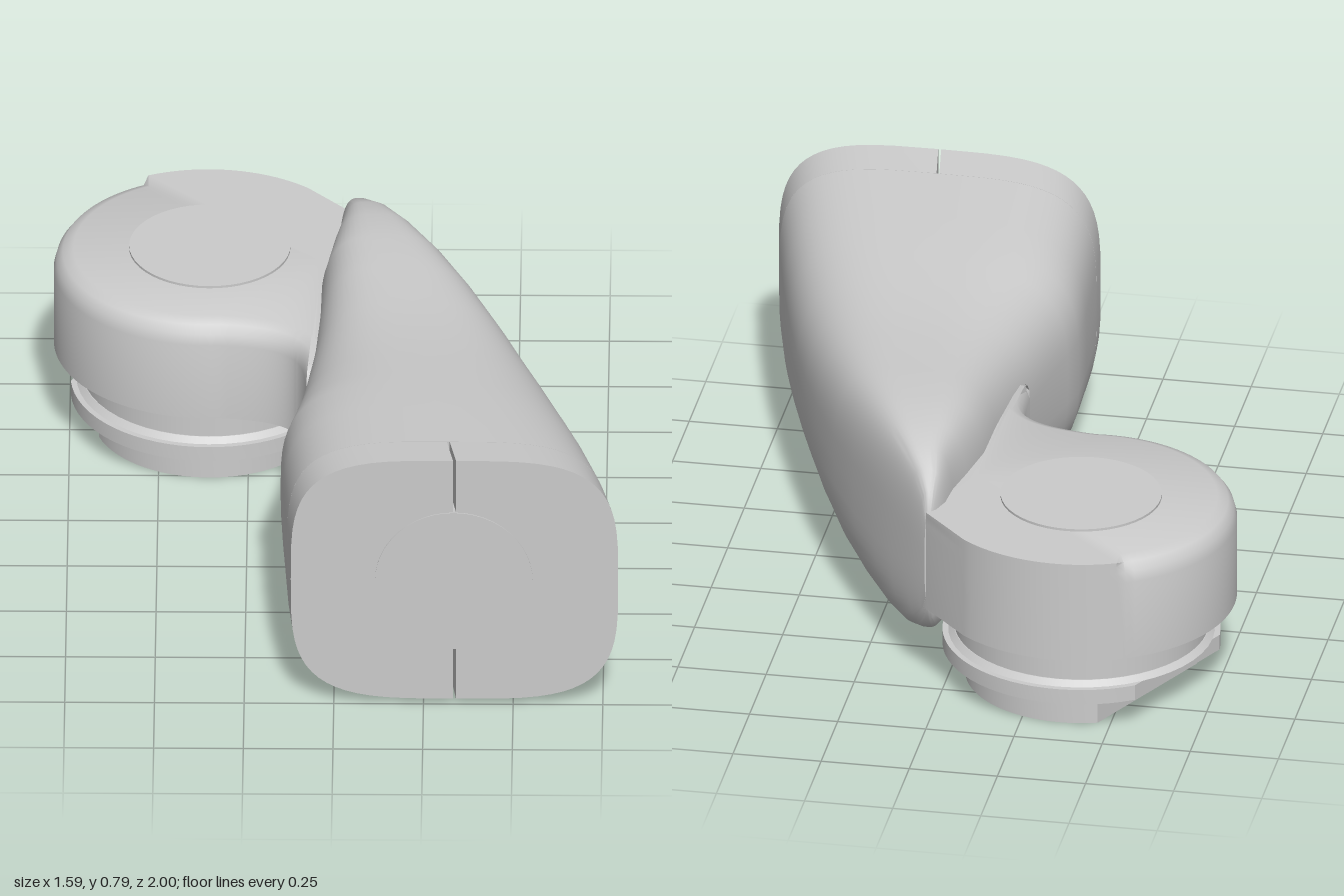
import * as THREE from 'three';
import { toCreasedNormals } from 'three/addons/utils/BufferGeometryUtils.js';

const material = new THREE.MeshStandardMaterial({ color: 0xcccccc });
const HEAD = { x: -0.365, z: -0.57, r: 0.43 };

// Arm sections from the rear tip to the front: z, left x, right x, bottom, top, squareness
const SECTIONS = [
  [-0.755, 0.03, 0.05, 0.27, 0.53, 2.5],
  [-0.73, 0.015, 0.072, 0.205, 0.6, 2.7],
  [-0.68, 0.0, 0.112, 0.155, 0.648, 3],
  [-0.6, -0.005, 0.172, 0.122, 0.682, 3.2],
  [-0.5, -0.025, 0.24, 0.104, 0.702, 3.3],
  [-0.36, -0.05, 0.325, 0.095, 0.713, 3.3],
  [-0.2, -0.055, 0.41, 0.092, 0.71, 3.2],
  [0, -0.07, 0.498, 0.09, 0.708, 3.1],
  [0.15, -0.09, 0.556, 0.085, 0.712, 3],
  [0.3, -0.112, 0.61, 0.075, 0.724, 3],
  [0.42, -0.137, 0.648, 0.064, 0.735, 3.1],
  [0.5, -0.153, 0.672, 0.056, 0.743, 3.2],
  [0.65, -0.146, 0.714, 0.045, 0.756, 3.4],
  [0.875, -0.132, 0.768, 0.029, 0.775, 3.7],
  [1, -0.12, 0.793, 0.018, 0.787, 3.7],
];

function mesh(name, geometry, x = 0, y = 0, z = 0) {
  const m = new THREE.Mesh(geometry, material);
  m.name = name;
  m.position.set(x, y, z);
  return m;
}

// Skin closed rings and close both ends with fans around the given centres
function loft(rings, startCentre, endCentre) {
  const n = rings[0].length;
  const positions = rings.flat().concat([startCentre, endCentre]).flat();
  const start = rings.length * n, end = start + 1, last = start - n;
  const index = [];
  for (let j = 0; j < n; j++) {
    const k = (j + 1) % n;
    for (let i = 0; i < rings.length - 1; i++) {
      const a = i * n + j, b = i * n + k;
      index.push(a, b, a + n, b, b + n, a + n);
    }
    index.push(start, k, j, end, last + j, last + k);
  }
  const g = new THREE.BufferGeometry();
  g.setAttribute('position', new THREE.Float32BufferAttribute(positions, 3));
  g.setIndex(index);
  return toCreasedNormals(g, 0.7);
}

// Rounded square of half-size 1
function roundedSquare(power, count = 64) {
  const f = (v) => (Math.abs(v) < 1e-9 ? 0 : Math.sign(v) * Math.abs(v) ** (2 / power));
  return Array.from({ length: count }, (_, j) => {
    const t = (j / count) * Math.PI * 2;
    return [f(Math.cos(t)), f(Math.sin(t))];
  });
}

function place(u, v, [z, left, right, bottom, top]) {
  return [(left + right) / 2 + (u * (right - left)) / 2, (bottom + top) / 2 + (v * (top - bottom)) / 2, z];
}

function armGeometry() {
  const rows = SECTIONS.slice(0, -1);
  const rings = rows.map((s) => roundedSquare(s[5]).map(([u, v]) => place(u, v, s)));
  return loft(rings, place(0, 0, rows[0]), place(0, 0, rows[rows.length - 1]));
}

// End collar, split by a narrow slit at the top and the bottom
function collarGeometry() {
  const points = [];
  roundedSquare(3.7).forEach(([u, v], j) => {
    if (j === 16 || j === 48) {
      const s = Math.sign(v), g = 0.009;
      points.push([s * g, s], [s * g, s * 0.57], [-s * g, s * 0.57], [-s * g, s]);
    } else points.push([u, v]);
  });
  const shape = new THREE.Shape(points.map((p) => new THREE.Vector2(...p)));
  const g = new THREE.ExtrudeGeometry(shape, { depth: 1, bevelEnabled: false });
  const p = g.attributes.position;
  const [back, front] = SECTIONS.slice(-2);
  for (let i = 0; i < p.count; i++) {
    p.setXYZ(i, ...place(p.getX(i), p.getY(i), p.getZ(i) > 0.5 ? front : back));
  }
  g.translate(0, 0, 0.001);
  return toCreasedNormals(g, 0.6);
}

// Round joint housing blending into the arm; its rim is rounded except at the back
function headGeometry() {
  const rad = Math.PI / 180;
  const outline = new THREE.Shape();
  outline.moveTo(0.1, 0.12);
  outline.lineTo(0.1, -0.68);
  outline.lineTo(0.045, -0.755);
  outline.absarc(HEAD.x, HEAD.z, HEAD.r, -50 * rad, -275 * rad, true);
  outline.bezierCurveTo(-0.1, -0.12, -0.09, -0.05, -0.085, 0.12);
  const pts = outline.getPoints(32);
  const n = pts.length;
  const inward = pts.map((p, j) => {
    const d = pts[(j + 1) % n].clone().sub(pts[(j + n - 1) % n]).normalize();
    return new THREE.Vector2(d.y, -d.x);
  });
  const layers = [[0.25, 0], [0.485, 0], [0.515, 0.008], [0.538, 0.025], [0.55, 0.055]];
  const rings = layers.map(([y, inset]) => pts.map((p, j) => {
    const sharp = p.y < -0.7 && p.x > -0.54;
    const q = p.clone().addScaledVector(inward[j], sharp ? 0 : inset);
    return [q.x, y, q.y];
  }));
  return loft(rings, [-0.05, 0.25, -0.5], [-0.05, 0.55, -0.5]);
}

// Disc with one flat side facing the rear right
function flattedDisc(radius, flat, height) {
  const half = Math.acos(flat / radius), facing = 2.68;
  const shape = new THREE.Shape();
  shape.absarc(0, 0, radius, facing + half, facing - half + Math.PI * 2, false);
  const g = new THREE.ExtrudeGeometry(shape, { depth: height, bevelEnabled: false, curveSegments: 28 });
  g.rotateX(-Math.PI / 2);
  return toCreasedNormals(g, 0.5);
}

export function createModel() {
  const model = new THREE.Group();
  model.name = 'armLink';

  // Curved arm and its front end
  model.add(mesh('arm', armGeometry()));
  model.add(mesh('endCollar', collarGeometry()));
  const endDisc = new THREE.CylinderGeometry(0.22, 0.22, 0.01, 48);
  endDisc.rotateX(Math.PI / 2);
  model.add(mesh('endDisc', endDisc, 0.335, 0.4, 0.999));

  // Joint housing with its top cover
  model.add(mesh('jointHousing', headGeometry()));
  model.add(mesh('topCover', new THREE.CylinderGeometry(0.225, 0.225, 0.02, 48), HEAD.x + 0.005, 0.547, HEAD.z));

  // Stepped mount under the joint
  const mount = new THREE.Group();
  mount.name = 'jointMount';
  mount.position.set(-0.36, 0, -0.565);
  mount.add(mesh('neck', new THREE.CylinderGeometry(0.355, 0.355, 0.13, 48), 0, 0.195, 0));
  mount.add(mesh('flange', flattedDisc(0.388, 0.335, 0.045), 0, 0.09, 0));
  mount.add(mesh('flangeShoulder', new THREE.CylinderGeometry(0.357, 0.372, 0.016, 48), 0, 0.143, 0));
  mount.add(mesh('plug', flattedDisc(0.325, 0.23, 0.1), 0, 0, 0));
  model.add(mount);

  return model;
}
